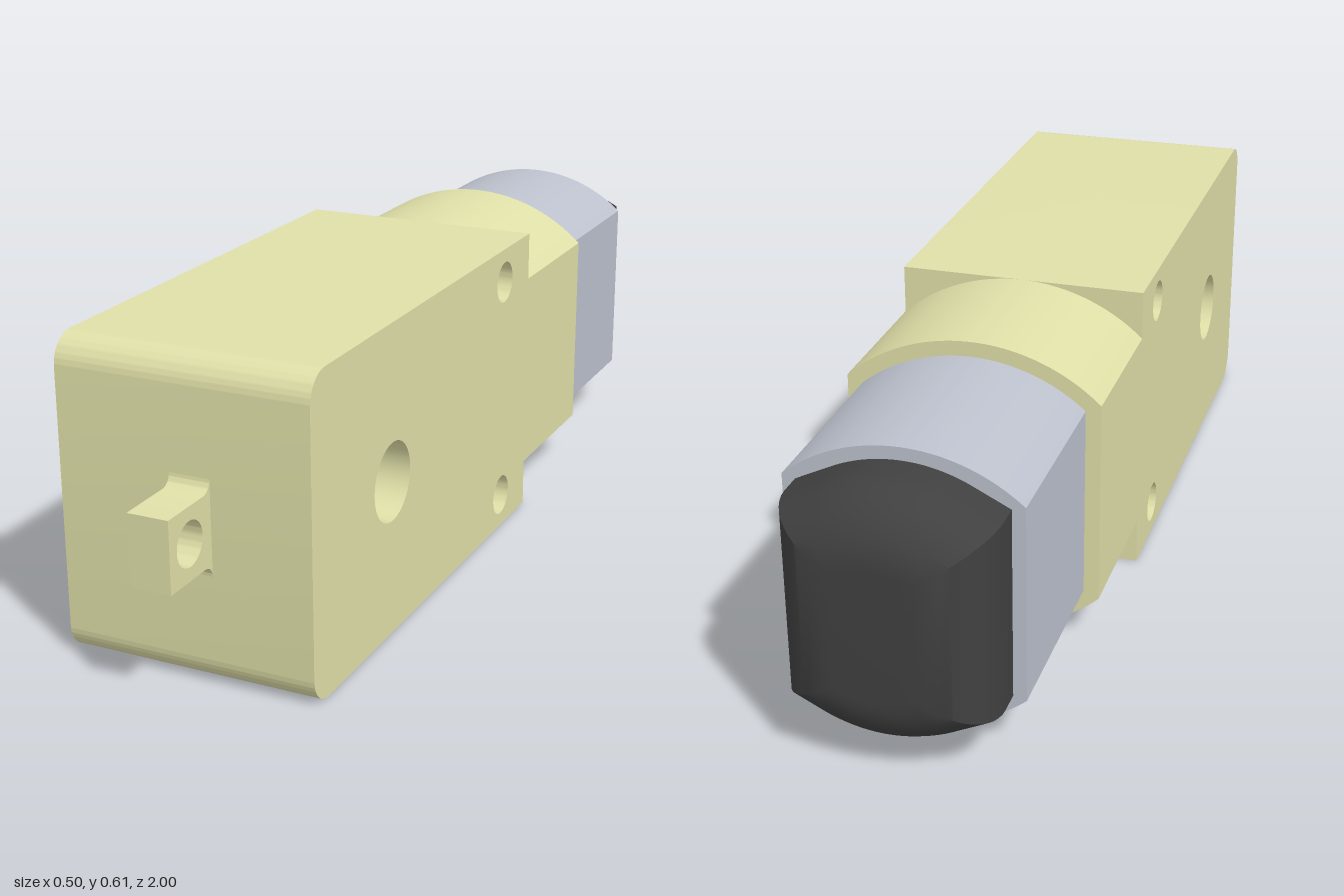
import * as THREE from 'three';
import { toCreasedNormals } from 'three/addons/utils/BufferGeometryUtils.js';

const MID = 0.305; // height of the motor axis
const yellow = new THREE.MeshStandardMaterial({ color: 0xdfdfa8 });
const silver = new THREE.MeshStandardMaterial({ color: 0xbcc1cd });
const black = new THREE.MeshStandardMaterial({ color: 0x404040 });

function part(name, geometry, material) {
  const mesh = new THREE.Mesh(toCreasedNormals(geometry, 0.5), material);
  mesh.name = name;
  return mesh;
}

function addHole(shape, z, y, r) {
  const hole = new THREE.Path();
  hole.absarc(z, y, r, 0, Math.PI * 2, true);
  shape.holes.push(hole);
}

// Extrude a side profile drawn in (z, y) across x
function acrossX(shape, x0, x1) {
  const g = new THREE.ExtrudeGeometry(shape, { depth: x1 - x0, bevelEnabled: false, curveSegments: 24 });
  return g.rotateY(-Math.PI / 2).translate(x1, 0, 0);
}

// Section with flat sides and arched top and bottom, centred on the origin
function barrelShape(halfW, halfFlat, halfH) {
  const rise = halfH - halfFlat;
  const r = (halfW * halfW + rise * rise) / (2 * rise);
  const c = halfH - r;
  const a = Math.atan2(halfFlat - c, halfW);
  const s = new THREE.Shape();
  s.moveTo(halfW, -halfFlat);
  s.lineTo(halfW, halfFlat);
  s.absarc(0, c, r, a, Math.PI - a, false);
  s.lineTo(-halfW, -halfFlat);
  s.absarc(0, -c, r, Math.PI + a, 2 * Math.PI - a, false);
  return s;
}

function barrel(shape, zBack, zFront) {
  const g = new THREE.ExtrudeGeometry(shape, { depth: zFront - zBack, bevelEnabled: false, curveSegments: 28 });
  return g.translate(0, MID, zBack);
}

export function createModel() {
  const model = new THREE.Group();
  model.name = 'gearMotor';

  // Gearbox housing with rounded front edges, shaft hole and two screw holes
  const top = 0.61, front = 0.865, back = -0.135, r = 0.055;
  const body = new THREE.Shape();
  body.moveTo(back, 0);
  body.lineTo(front - r, 0);
  body.absarc(front - r, r, r, -Math.PI / 2, 0, false);
  body.lineTo(front, top - r);
  body.absarc(front - r, top - r, r, 0, Math.PI / 2, false);
  body.lineTo(back, top);
  body.closePath();
  addHole(body, 0.545, MID, 0.077);
  addHole(body, 0, MID + 0.235, 0.042);
  addHole(body, 0, MID - 0.235, 0.042);
  model.add(part('gearboxHousing', acrossX(body, -0.25, 0.25), yellow));

  // Mounting tab, filleted where it meets the housing
  const h = 0.068, f = 0.023;
  const tab = new THREE.Shape();
  tab.moveTo(front, MID - h - f);
  tab.absarc(front + f, MID - h - f, f, Math.PI, Math.PI / 2, true);
  tab.lineTo(1, MID - h);
  tab.lineTo(1, MID + h);
  tab.lineTo(front + f, MID + h);
  tab.absarc(front + f, MID + h + f, f, -Math.PI / 2, -Math.PI, true);
  tab.closePath();
  addHole(tab, 0.935, MID, 0.042);
  model.add(part('mountingTab', acrossX(tab, -0.025, 0.055), yellow));

  // Collar and motor can
  model.add(part('motorCollar', barrel(barrelShape(0.25, 0.207, 0.305), -0.455, back), yellow));
  model.add(part('motorCan', barrel(barrelShape(0.22, 0.193, 0.275), -0.835, -0.455), silver));

  // End cap with a rounded rear edge; its front end is buried in the can
  const round = 0.12;
  const cap = new THREE.ExtrudeGeometry(barrelShape(0.075, 0.112, 0.13), {
    depth: 0.06, bevelEnabled: true, bevelSize: round, bevelThickness: round, bevelSegments: 12, curveSegments: 20,
  });
  cap.translate(0, MID, -1 + round);
  model.add(part('endCap', cap, black));

  return model;
}
